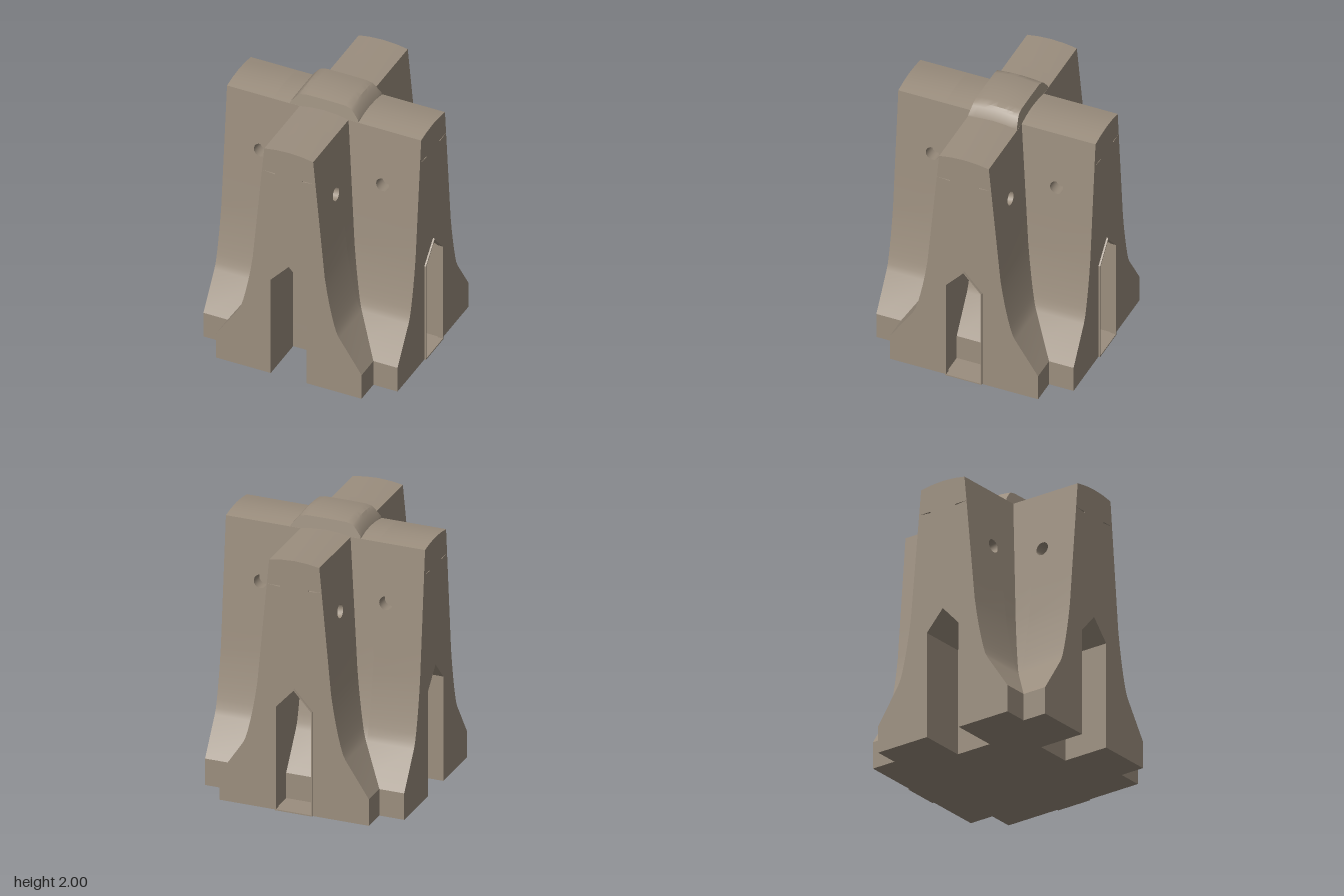
import * as THREE from 'three';
import { toCreasedNormals } from 'three/addons/utils/BufferGeometryUtils.js';

const HALF = 0.7425;      // half length of each barrier
const BACK = 0.39;        // depth position of the open slots' back wall
const KEY = 0.1375;       // half width of the keyed slots
const POCKET = 0.1;       // thickness of the flank panels with holes
const Y0 = 1.2, Y1 = 1.7; // height range of the flank panels
const SLOPE = (0.275 - 0.187) / (1.885 - 0.94);
const flankX = y => 0.275 - SLOPE * (y - 0.94);

// Right half of the barrier's cross-section, from ground to crown
const HALF_PROFILE = [
  [0.5575, 0], [0.5575, 0.2], [0.385, 0.46], [0.365, 0.5], [0.347, 0.56],
  [0.33, 0.63], [0.311, 0.72], [0.293, 0.82], [0.275, 0.94],
  [flankX(Y0), Y0], [flankX(Y0) - POCKET, Y0],
  [flankX(Y1) - POCKET, Y1], [flankX(Y1), Y1],
  [0.187, 1.885], [0.1, 1.899], [0, 1.905],
];

function toShape(points) {
  return new THREE.Shape(points.map(([x, y]) => new THREE.Vector2(x, y)));
}

function keyPoints(w, eave, peak) {
  return [[-w, 0], [-w, eave], [0, peak], [w, eave], [w, 0]];
}

// Cross-section, optionally with the pointed slot or with one foot cut back
function profile({ slot = false, clip = 0 } = {}) {
  const side = s => HALF_PROFILE.map(([x, y]) =>
    [s * (clip === s ? Math.min(x, BACK) : x), y]);
  const right = side(1);
  const left = side(-1).reverse().slice(1);
  return toShape([...right, ...left, ...(slot ? keyPoints(KEY, 0.79, 0.94) : [])]);
}

function extrude(shape, z0, z1, steps = 1) {
  const g = new THREE.ExtrudeGeometry(shape,
    { depth: z1 - z0, bevelEnabled: false, curveSegments: 8, steps });
  return g.translate(0, 0, z0);
}

function addMesh(parent, geometry, material, name) {
  const mesh = new THREE.Mesh(geometry, material);
  mesh.name = name;
  parent.add(mesh);
  return mesh;
}

// One barrier along z: open slot at +z, keyed socket at -z
function makeBarrier(name, clip, material) {
  const barrier = new THREE.Group();
  barrier.name = name;

  const segments = [
    ['slottedEnd', BACK, HALF, { slot: true }],
    ['innerBody', KEY, BACK, {}],
    ['middleBody', -KEY, KEY, { clip }],
    ['innerBody', -0.2, -KEY, {}],
    ['socketEnd', -HALF, -0.2, { slot: true }],
  ];
  for (const [part, z0, z1, options] of segments) {
    addMesh(barrier, toCreasedNormals(extrude(profile(options), z0, z1), 0.3), material, part);
  }

  // Sloped flank panels with round lifting holes
  const h = (Y1 - Y0) / 2 * Math.hypot(1, SLOPE);
  for (const s of [1, -1]) {
    const panel = toShape([[-HALF, -h], [HALF, -h], [HALF, h], [-HALF, h]]);
    for (const u of [-0.4675, 0.4675]) {
      const hole = new THREE.Path();
      hole.absarc(u, 0, 0.05, 0, Math.PI * 2, true);
      panel.holes.push(hole);
    }
    const g = extrude(panel, -POCKET, 0);
    g.rotateX(-Math.atan(SLOPE)).rotateY(s * Math.PI / 2);
    g.translate(s * flankX((Y0 + Y1) / 2), (Y0 + Y1) / 2, 0);
    addMesh(barrier, toCreasedNormals(g, 0.7), material, 'flankPanel');
  }

  // Slightly raised rim and floor of the socket
  const rim = toShape([
    ...keyPoints(KEY, 0.79, 0.94),
    ...keyPoints(KEY - 0.008, 0.787, 0.929).reverse(),
  ]);
  addMesh(barrier, extrude(rim, -HALF - 0.0125, -HALF + 0.03), material, 'socketRim');
  const floor = new THREE.BoxGeometry(KEY * 2, 0.009, 0.255);
  floor.translate(0, 0.0045, -HALF - 0.0125 + 0.1275);
  addMesh(barrier, floor, material, 'socketFloor');
  return barrier;
}

// Raised saddle over the crossing, crowned and tapered across its width
function makeSaddle() {
  const side = [[0.262, 1.885], [0.258, 1.905], [0.215, 1.965], [0.195, 1.985], [0.15, 1.998]];
  const mirrored = side.map(([x, y]) => [-x, y]).reverse();
  const g = extrude(toShape([...side, [0, 2], ...mirrored]), -0.186, 0.186, 8);
  const p = g.attributes.position;
  for (let i = 0; i < p.count; i++) {
    const y = p.getY(i), z = p.getZ(i);
    const t = Math.max(0, (y - 1.885) / 0.115);
    p.setY(i, y - 0.015 * t * (z / 0.186) ** 2);
    p.setZ(i, z * (1 - 0.1 * t));
  }
  g.computeVertexNormals();
  return toCreasedNormals(g, 0.5);
}

export function createModel() {
  const concrete = new THREE.MeshStandardMaterial({ color: 0x9b8e7e });
  concrete.name = 'concrete';

  const model = new THREE.Group();
  model.name = 'crossedBarrier';
  const body = new THREE.Group();
  body.name = 'body';
  body.position.set(-0.0065, 0, 0.0065);
  model.add(body);

  body.add(makeBarrier('lengthwiseBarrier', -1, concrete));
  const across = makeBarrier('crosswiseBarrier', 1, concrete);
  across.rotation.y = -Math.PI / 2;
  body.add(across);

  addMesh(body, makeSaddle(), concrete, 'saddle');
  return model;
}
